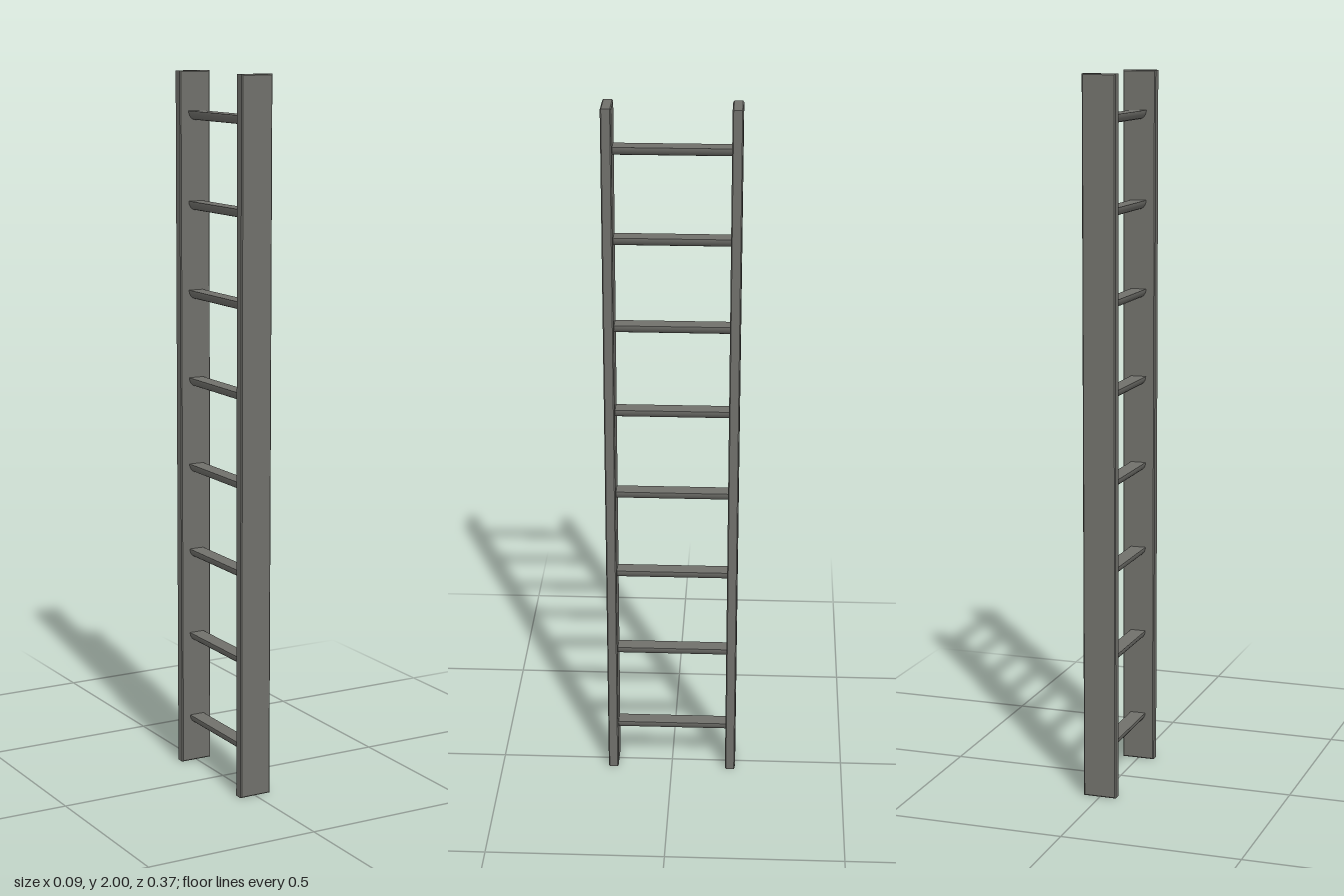
import * as THREE from 'three';

export function createModel() {
  const model = new THREE.Group();
  model.name = 'ladder';
  const grey = new THREE.MeshStandardMaterial({ color: 0x70706b });
  grey.name = 'weathered grey';

  // Side rails: upright planks with finely chamfered edges
  const height = 2, width = 0.094, thickness = 0.029, bevel = 0.003;
  const w = width / 2 - bevel;
  const outline = new THREE.Shape();
  outline.moveTo(-w, bevel);
  outline.lineTo(w, bevel);
  outline.lineTo(w, height - bevel);
  outline.lineTo(-w, height - bevel);
  outline.closePath();
  const railGeometry = new THREE.ExtrudeGeometry(outline, {
    depth: thickness - 2 * bevel, bevelEnabled: true,
    bevelThickness: bevel, bevelSize: bevel, bevelSegments: 1,
  });
  railGeometry.translate(0, 0, bevel - thickness / 2);
  for (const side of [1, -1]) {
    const rail = new THREE.Mesh(railGeometry, grey);
    rail.name = side > 0 ? 'frontRail' : 'backRail';
    rail.position.z = side * 0.172;
    model.add(rail);
  }

  // Rungs: half-round bars with a flat tread on top
  const radius = 0.022, span = 0.32;
  const underside = new THREE.CylinderGeometry(radius, radius, span, 12, 1, true, -Math.PI / 2, Math.PI);
  underside.rotateX(Math.PI / 2);
  underside.scale(1, 1.15, 1);
  const tread = new THREE.PlaneGeometry(radius * 2, span);
  tread.rotateX(-Math.PI / 2);
  for (let i = 0; i < 8; i++) {
    const rung = new THREE.Group();
    rung.name = `rung${i + 1}`;
    const lower = new THREE.Mesh(underside, grey);
    lower.name = 'rungUnderside';
    const upper = new THREE.Mesh(tread, grey);
    upper.name = 'rungTread';
    rung.add(lower, upper);
    rung.position.set(0.001, 0.14 + i * 0.25, 0);
    model.add(rung);
  }
  return model;
}
